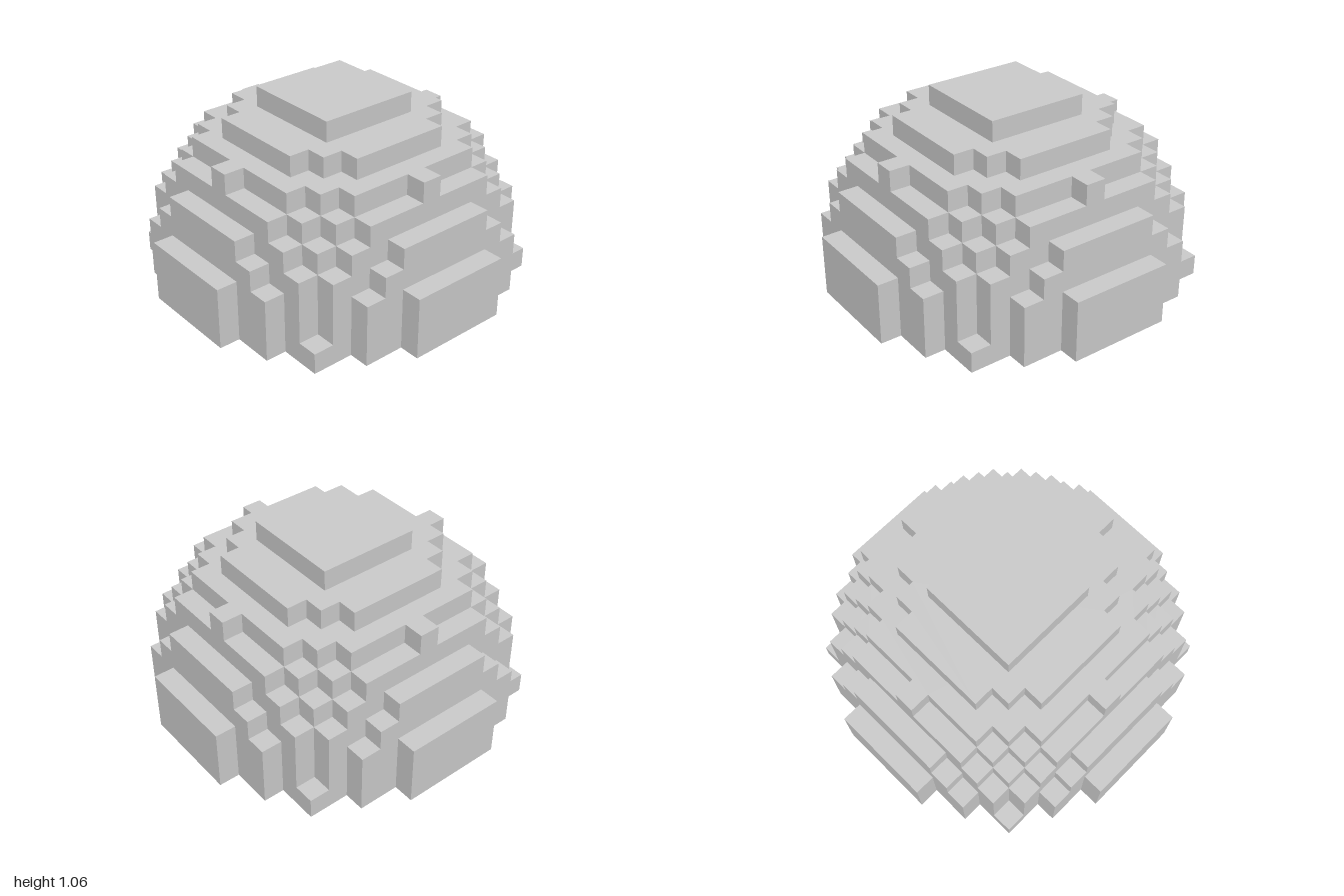
import * as THREE from 'three';

const CELLS = 17;              // cells across the dome
const U = 2 / CELLS;           // size of one cell
const R2 = (CELLS / 2) ** 2;   // squared radius, in cells

// Stepped outline of all cells within a squared radius
function steppedOutline(r2) {
  const reach = Math.floor(Math.sqrt(r2));
  const right = [];
  let last = -1;
  for (let k = -reach; k <= reach; k++) {
    const half = Math.floor(Math.sqrt(r2 - k * k)) + 0.5;
    if (half !== last) {
      if (last > 0) right.push([last, k - 0.5]);
      right.push([half, k - 0.5]);
      last = half;
    }
  }
  right.push([last, reach + 0.5]);
  const left = right.map(([x, y]) => [-x, y]).reverse();
  return new THREE.Shape([...right, ...left].map(([x, y]) => new THREE.Vector2(x * U, y * U)));
}

export function createModel() {
  const dome = new THREE.Group();
  dome.name = 'blockDome';
  const material = new THREE.MeshStandardMaterial({ color: 0xcccccc, flatShading: true });

  // One slab per level, from the widest at the ground to the cap
  const levels = (CELLS + 1) / 2;
  for (let level = 0; level < levels; level++) {
    const geometry = new THREE.ExtrudeGeometry(steppedOutline(R2 - level * level), {
      depth: U,
      bevelEnabled: false,
    });
    geometry.rotateX(-Math.PI / 2);
    const slab = new THREE.Mesh(geometry, material);
    slab.name = level === levels - 1 ? 'topCap' : `domeLayer${level + 1}`;
    slab.position.y = level * U;
    dome.add(slab);
  }
  return dome;
}
